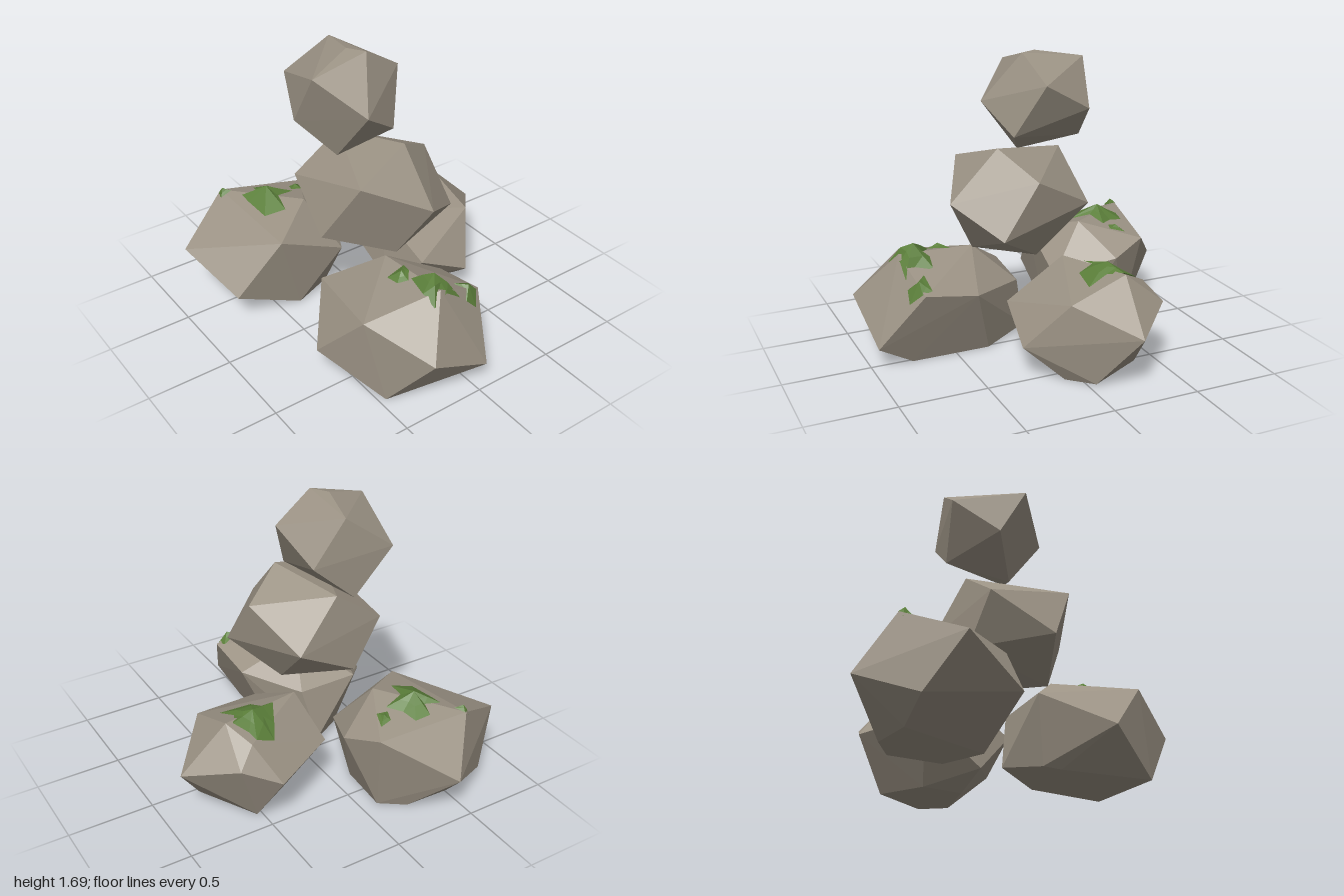
import * as THREE from 'three';
import { ConvexGeometry } from 'three/addons/geometries/ConvexGeometry.js';

const stone = new THREE.MeshStandardMaterial({ name: 'stone', color: 0x9b9284, flatShading: true });
const moss = new THREE.MeshStandardMaterial({ name: 'moss', color: 0x5b7f3a, flatShading: true, side: THREE.DoubleSide });

// Faceted boulder: hull around a few corner points
function boulder(name, corners) {
  const mesh = new THREE.Mesh(new ConvexGeometry(corners.map(c => new THREE.Vector3(...c))), stone);
  mesh.name = name;
  mesh.updateMatrixWorld();
  return mesh;
}

// Ragged moss cushion draped on a boulder; outline is [x, z] points, clockwise seen from above
function mossPatch(rock, outline, rise) {
  const ray = new THREE.Raycaster();
  const down = new THREE.Vector3(0, -1, 0);
  const n = outline.length;
  const cx = outline.reduce((s, p) => s + p[0], 0) / n;
  const cz = outline.reduce((s, p) => s + p[1], 0) / n;
  const lift = [0.006, rise * 0.5, rise];
  const pos = [], idx = [];
  let lastY = 0.5;
  [1, 0.5, 0].forEach((t, r) => outline.forEach(([px, pz], i) => {
    const x = cx + (px - cx) * t, z = cz + (pz - cz) * t;
    ray.set(new THREE.Vector3(x, 3, z), down);
    const hit = ray.intersectObject(rock)[0];
    if (hit) lastY = hit.point.y;
    pos.push(x, lastY + lift[r], z);
    if (r < 2) {
      const a = r * n + i, b = r * n + (i + 1) % n;
      idx.push(a, a + n, b);
      if (r === 0) idx.push(b, a + n, b + n);
    }
  }));
  const geo = new THREE.BufferGeometry();
  geo.setAttribute('position', new THREE.Float32BufferAttribute(pos, 3));
  geo.setIndex(idx.reverse());
  geo.computeVertexNormals();
  const mesh = new THREE.Mesh(geo, moss);
  mesh.name = 'mossPatch';
  return mesh;
}

export function createModel() {
  const group = new THREE.Group();
  group.name = 'stackedBoulders';

  // Three boulders on the ground
  const right = boulder('baseBoulderRight', [
    [-0.64, 0.38, 0.91], [-0.26, 0.19, 0.78], [-0.19, 0.51, 0.51], [-1, 0.26, 0.4],
    [-0.78, 0.1, 0.72], [-0.83, 0.57, 0.55], [-0.4, 0.6, 0.22], [-0.74, 0.5, 0.04],
    [-0.52, 0.43, -0.05], [-0.18, 0.32, 0.1],
    [-0.76, 0, 0.51], [-0.24, 0, 0.37], [-0.34, 0, 0.12], [-0.65, 0, 0.1], [-0.76, 0.01, 0.23]]);
  const left = boulder('baseBoulderLeft', [
    [1, 0.32, 0.32], [0.65, 0.48, 0.53], [0.39, 0.19, 0.66], [0.97, 0.13, -0.07],
    [0.73, 0.45, -0.19], [0.78, 0.6, 0.12], [0.07, 0.38, 0.41], [0.33, 0.58, 0.15],
    [0.42, 0.4, -0.18], [0.09, 0.36, 0.05], [0.02, 0.04, 0.12],
    [0.15, 0.015, 0.32], [0.24, 0, 0.36], [0.76, 0, 0.46], [0.76, 0, -0.02], [0.3, 0, -0.02]]);
  const back = boulder('baseBoulderBack', [
    [-0.22, 0.31, -0.91], [-0.25, 0.58, -0.64], [-0.47, 0.4, -0.67], [-0.56, 0.3, -0.46],
    [-0.4, 0.5, -0.56], [-0.36, 0.33, -0.07], [-0.12, 0.54, -0.13], [0.25, 0.34, -0.18],
    [0.29, 0.19, -0.49], [0.08, 0.46, -0.65], [0.02, 0.1, -0.1],
    [-0.24, 0, -0.28], [0, 0, -0.28], [-0.38, 0, -0.53], [-0.04, 0.01, -0.72], [0.08, 0, -0.58]]);

  // Two boulders balanced on top
  const middle = boulder('middleBoulder', [
    [0.35, 1.08, 0.33], [0.16, 0.73, 0.46], [0.24, 1.19, -0.04], [0.52, 0.9, -0.03],
    [0.1, 1.04, -0.29], [0.32, 0.74, -0.32], [-0.26, 0.85, -0.17], [-0.21, 0.93, 0.39],
    [-0.2, 1.13, 0.1], [-0.24, 0.65, 0.2], [0.35, 0.59, 0.09], [0.04, 0.565, -0.12]]);
  const top = boulder('topBoulder', [
    [0.02, 1.61, 0.4], [-0.16, 1.3, 0.41], [-0.41, 1.47, 0.31], [0.24, 1.41, 0.2],
    [0, 1.1, 0.24], [0.04, 1.69, 0.07], [-0.06, 1.69, 0.13], [-0.33, 1.65, 0.06],
    [0, 1.54, -0.17], [0.14, 1.24, -0.04], [-0.29, 1.38, -0.11], [-0.34, 1.18, 0.12]]);
  group.add(right, left, back, middle, top);

  // Moss cushions on the ground boulders
  const patches = [
    [right, 0.06, [[-0.56, 0.2], [-0.53, 0.32], [-0.4, 0.35], [-0.44, 0.47], [-0.61, 0.48],
      [-0.69, 0.48], [-0.66, 0.39], [-0.74, 0.37], [-0.73, 0.28], [-0.64, 0.26]]],
    [right, 0.03, [[-0.66, 0.1], [-0.57, 0.13], [-0.59, 0.19], [-0.65, 0.17]]],
    [right, 0.035, [[-0.83, 0.54], [-0.77, 0.51], [-0.77, 0.58], [-0.82, 0.58]]],
    [left, 0.075, [[0.62, 0], [0.785, -0.015], [0.785, 0.08], [0.82, 0.19], [0.73, 0.2],
      [0.59, 0.17], [0.66, 0.11], [0.61, 0.08]]],
    [left, 0.035, [[0.47, 0.13], [0.53, 0.14], [0.59, 0.19], [0.56, 0.24], [0.48, 0.25]]],
    [left, 0.025, [[0.68, -0.16], [0.74, -0.17], [0.8, -0.12], [0.79, -0.06], [0.69, -0.05]]],
    [back, 0.045, [[-0.26, -0.6], [-0.18, -0.55], [-0.06, -0.58], [-0.09, -0.4], [-0.18, -0.38],
      [-0.17, -0.3], [-0.29, -0.36], [-0.38, -0.41], [-0.38, -0.52], [-0.33, -0.54]]],
  ];
  for (const [rock, rise, outline] of patches) group.add(mossPatch(rock, outline, rise));
  return group;
}
